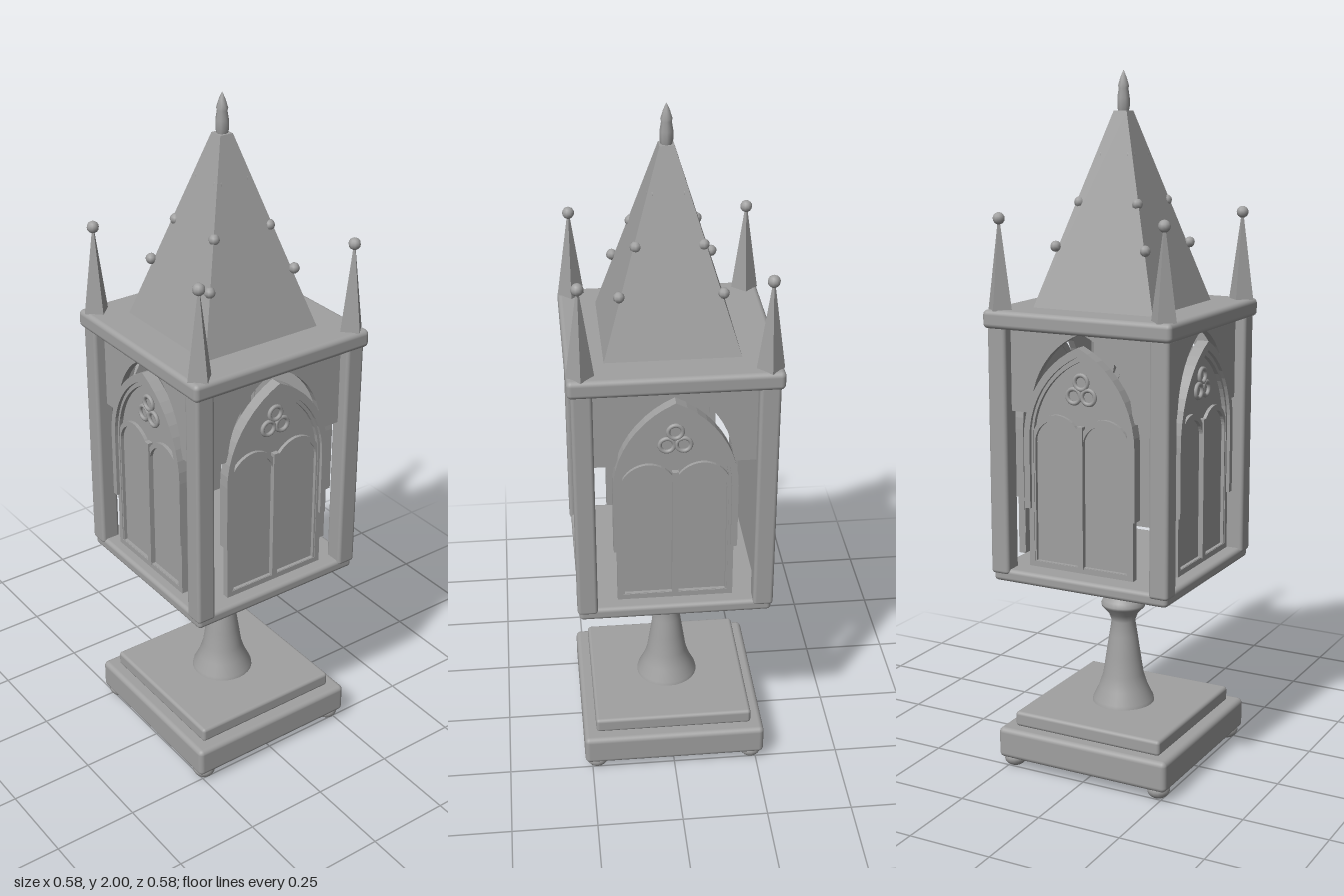
import * as THREE from 'three';
import { RoundedBoxGeometry } from 'three/addons/geometries/RoundedBoxGeometry.js';

const stone = new THREE.MeshStandardMaterial({ color: 0xa0a0a0 });
stone.name = 'grey stone';

function add(parent, name, geometry, x = 0, y = 0, z = 0) {
  const mesh = new THREE.Mesh(geometry, stone);
  mesh.name = name;
  mesh.position.set(x, y, z);
  parent.add(mesh);
  return mesh;
}

// Rounded square block between two heights
function slab(parent, name, half, y0, y1, r = 0.012, x = 0, z = 0) {
  return add(parent, name, new RoundedBoxGeometry(half * 2, y1 - y0, half * 2, 3, r), x, (y0 + y1) / 2, z);
}

// Four-sided tapered spire with hard edges
function pyramid(rTop, rBottom, height, turn) {
  const g = new THREE.CylinderGeometry(rTop, rBottom, height, 4).rotateY(turn).toNonIndexed();
  g.computeVertexNormals();
  return g;
}

// Outline of a pointed arch: straight jambs, then two arcs meeting at the apex
function archPoints(cx, w, bottom, spring, apex) {
  const rise = apex - spring;
  const R = (w * w + rise * rise) / (2 * w);
  const end = Math.asin(Math.min(1, rise / R));
  const right = [[w, bottom]];
  for (let i = 0; i <= 10; i++) {
    const a = (end * i) / 10;
    right.push([w - R + R * Math.cos(a), spring + R * Math.sin(a)]);
  }
  right[right.length - 1] = [0, apex];
  const left = right.slice(0, -1).reverse().map(([x, y]) => [-x, y]);
  return [...right, ...left].map(([x, y]) => new THREE.Vector2(cx + x, y));
}

function extrude(shape, z0, z1) {
  return new THREE.ExtrudeGeometry(shape, { depth: z1 - z0, bevelEnabled: false, curveSegments: 16 }).translate(0, 0, z0);
}

// Arch-shaped rib, open or closed at its foot
function archRib(cx, w, bottom, spring, apex, t, sill, z0, z1) {
  const outer = archPoints(cx, w, bottom, spring, apex);
  const inner = archPoints(cx, w - t, bottom + sill, spring, apex - t * 1.4);
  if (!sill) return extrude(new THREE.Shape([...outer, ...inner.reverse()]), z0, z1);
  const shape = new THREE.Shape(outer);
  shape.holes.push(new THREE.Path(inner));
  return extrude(shape, z0, z1);
}

// One side of the lantern, facing +z
function createWall() {
  const wall = new THREE.Group();
  wall.name = 'windowWall';

  // Spandrel above the window, cut by an arch
  const v = (x, y) => new THREE.Vector2(x, y);
  const opening = archPoints(0, 0.158, 1.07, 1.075, 1.303);
  const spandrel = new THREE.Shape([v(0.225, 1.07), v(0.225, 1.306), v(-0.225, 1.306), v(-0.225, 1.07), ...opening.reverse()]);
  add(wall, 'spandrel', extrude(spandrel, 0.228, 0.248));

  // Pane with its border, and the hood moulding over it
  add(wall, 'windowPane', extrude(new THREE.Shape(archPoints(0, 0.163, 0.635, 1.0, 1.25)), 0.234, 0.244));
  add(wall, 'windowBorder', archRib(0, 0.164, 0.63, 1.0, 1.25, 0.016, 0.016, 0.236, 0.256));
  add(wall, 'hoodMoulding', archRib(0, 0.173, 0.8, 1.0, 1.268, 0.018, 0, 0.232, 0.266));

  // Twin lancets and mullion
  for (const s of [-1, 1]) {
    add(wall, 'lancetRib', archRib(s * 0.075, 0.08, 0.635, 0.99, 1.073, 0.012, 0.012, 0.238, 0.254));
  }
  add(wall, 'mullion', new THREE.BoxGeometry(0.018, 0.405, 0.02), 0, 0.845, 0.249);

  // Trefoil of three rings
  for (const [x, y] of [[0, 1.17], [-0.023, 1.13], [0.023, 1.13]]) {
    add(wall, 'trefoilRing', new THREE.TorusGeometry(0.02, 0.006, 8, 20), x, y, 0.248);
  }
  return wall;
}

export function createModel() {
  const model = new THREE.Group();
  model.name = 'gothicLantern';
  const corners = [[1, 1], [1, -1], [-1, -1], [-1, 1]];

  // Base
  slab(model, 'baseSlab', 0.272, 0.03, 0.122, 0.015);
  slab(model, 'basePlate', 0.235, 0.12, 0.165, 0.01);

  // Turned stem
  const profile = [[0.093, 0.16], [0.09, 0.175], [0.073, 0.21], [0.06, 0.25], [0.051, 0.31], [0.042, 0.37], [0.035, 0.415],
    [0.043, 0.437], [0.064, 0.46], [0.066, 0.468], [0.06, 0.48], [0.041, 0.505], [0.038, 0.52], [0.038, 0.58]];
  add(model, 'stem', new THREE.LatheGeometry(profile.map(([x, y]) => new THREE.Vector2(x, y)), 28));

  // Lantern floor and cornice
  slab(model, 'lanternFloor', 0.275, 0.575, 0.612, 0.012);
  slab(model, 'cornice', 0.29, 1.303, 1.355, 0.014);

  // Lantern walls
  for (let i = 0; i < 4; i++) {
    const wall = createWall();
    wall.rotation.y = (i * Math.PI) / 2;
    model.add(wall);
  }

  // Roof and finial
  const roofBase = 1.353, roofTop = 1.89;
  add(model, 'roof', pyramid(0.02 * Math.SQRT2, 0.186 * Math.SQRT2, roofTop - roofBase, Math.PI / 4), 0, (roofBase + roofTop) / 2, 0);
  const tip = [[0.013, 1.88], [0.018, 1.9], [0.018, 1.925], [0.014, 1.95], [0.016, 1.957], [0.009, 1.98], [0, 2]];
  add(model, 'finial', new THREE.LatheGeometry(tip.map(([x, y]) => new THREE.Vector2(x, y)), 8));

  // Feet, posts, pinnacles and crockets at each corner
  for (const [sx, sz] of corners) {
    const foot = add(model, 'foot', new THREE.SphereGeometry(0.033, 16, 10), sx * 0.235, 0.026, sz * 0.235);
    foot.scale.y = 0.026 / 0.033;
    add(model, 'cornerPost', new RoundedBoxGeometry(0.058, 0.715, 0.058, 3, 0.01), sx * 0.251, 0.9545, sz * 0.251);
    add(model, 'pinnacle', pyramid(0.004, 0.038, 0.24, 0), sx * 0.252, 1.473, sz * 0.252);
    add(model, 'pinnacleBall', new THREE.SphereGeometry(0.017, 10, 8), sx * 0.252, 1.604, sz * 0.252);
    for (const [d, y] of [[0.139, 1.523], [0.09, 1.643], [0.042, 1.77]]) {
      add(model, 'crocket', new THREE.SphereGeometry(0.0155, 8, 6), sx * d, y, sz * d);
    }
  }
  return model;
}
